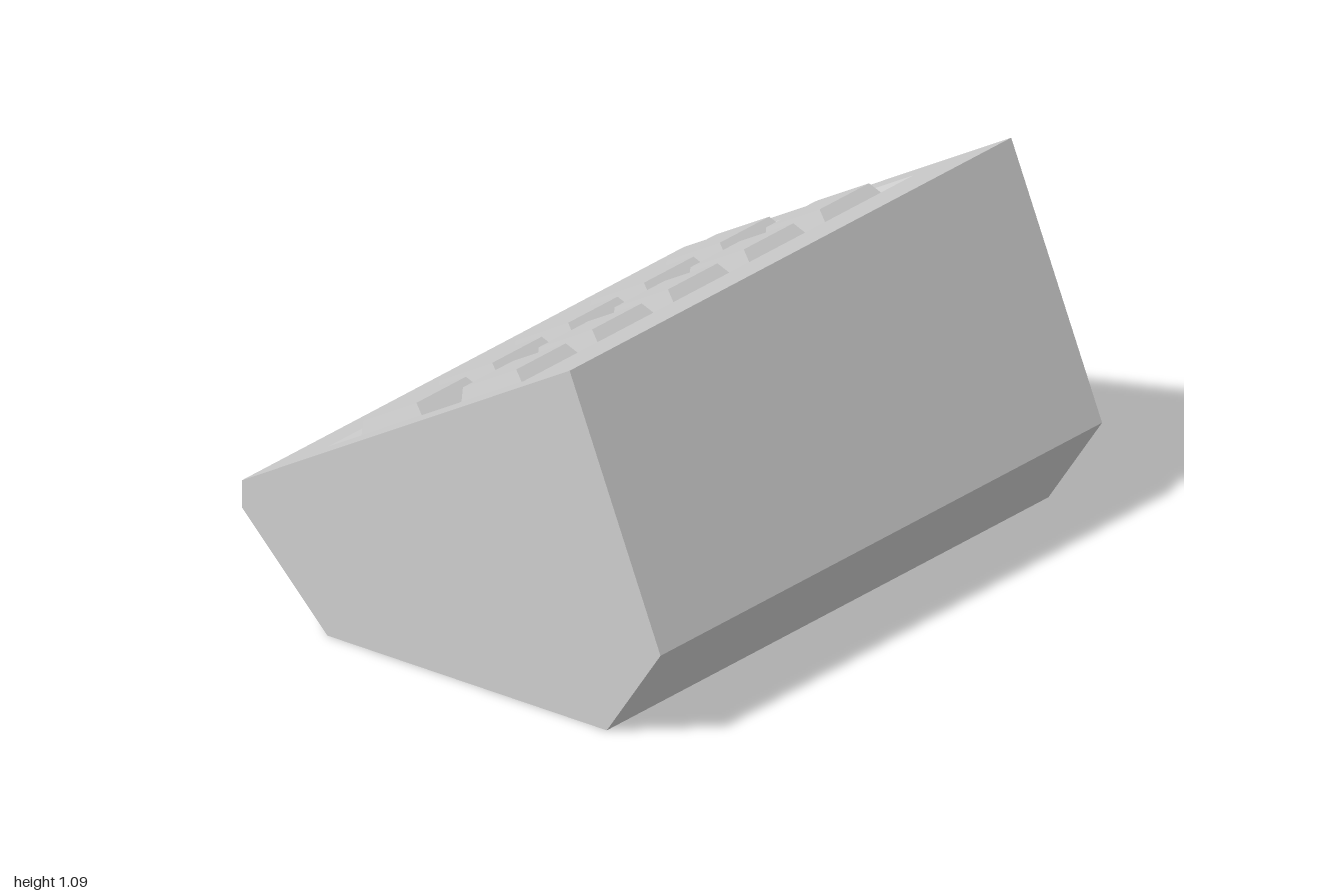
import * as THREE from 'three';

const material = new THREE.MeshStandardMaterial({ color: 0xcccccc, flatShading: true });

// Mesh from convex polygons, each a counter-clockwise loop of [x, y, z] corners
function polygonMesh(name, polygons) {
  const positions = [];
  for (const p of polygons) {
    for (let i = 1; i < p.length - 1; i++) positions.push(...p[0], ...p[i], ...p[i + 1]);
  }
  const geometry = new THREE.BufferGeometry();
  geometry.setAttribute('position', new THREE.Float32BufferAttribute(positions, 3));
  geometry.computeVertexNormals();
  const mesh = new THREE.Mesh(geometry, material);
  mesh.name = name;
  return mesh;
}

// Level rectangle facing up
const rect = (x0, x1, halfZ, y, z = 0) => [
  [x0, y, z + halfZ], [x1, y, z + halfZ], [x1, y, z - halfZ], [x0, y, z - halfZ],
];

// Quads joining an outer loop to an inner one
const bridge = (outer, inner) => outer.map((p, i) => {
  const j = (i + 1) % outer.length;
  return [p, outer[j], inner[j], inner[i]];
});

export function createModel() {
  const model = new THREE.Group();
  model.name = 'slopedConsole';

  // Side profile, open along the sloping top
  const profile = [[-0.76, 0.395], [-0.76, 0.31], [-0.45, 0], [0.565, 0], [0.76, 0.29], [0.43, 1.085]];
  const front = profile.map(([x, y]) => [x, y, 1]);
  const back = profile.map(([x, y]) => [x, y, -1]);
  const walls = front.slice(0, -1).map((p, i) => [p, back[i], back[i + 1], front[i + 1]]);
  model.add(polygonMesh('body', [front, [...back].reverse(), ...walls]));

  // Sloping panel, built flat and then tilted onto the body
  const [low, high] = [profile[0], profile[5]];
  const dx = high[0] - low[0], dy = high[1] - low[1];
  const half = Math.hypot(dx, dy) / 2;
  const panel = new THREE.Group();
  panel.name = 'controlPanel';
  panel.position.set((low[0] + high[0]) / 2, (low[1] + high[1]) / 2, 0);
  panel.rotation.z = Math.atan2(dy, dx);
  model.add(panel);

  // Top surface with a shallow bevelled tray
  const depth = 0.026;
  const edge = rect(-half, half, 1, 0);
  const rim = rect(-0.433, 0.387, 0.885, 0);
  const floor = rect(-0.378, 0.332, 0.842, -depth);
  panel.add(polygonMesh('panelFrame', bridge(edge, rim)));
  panel.add(polygonMesh('tray', [...bridge(rim, floor), floor]));

  // Two columns of five tapered keys
  const base = 0.133, top = 0.112, keyTop = 0.028;
  for (const x of [-0.24, 0.179]) {
    for (let row = -2; row <= 2; row++) {
      const z = row * 0.3435 - 0.003;
      const bottomLoop = rect(-base, base, base, -depth);
      const topLoop = rect(-top, top, top, keyTop);
      const key = polygonMesh('key', [...bridge(bottomLoop, topLoop), topLoop]);
      key.position.set(x, 0, z);
      panel.add(key);
    }
  }
  return model;
}
